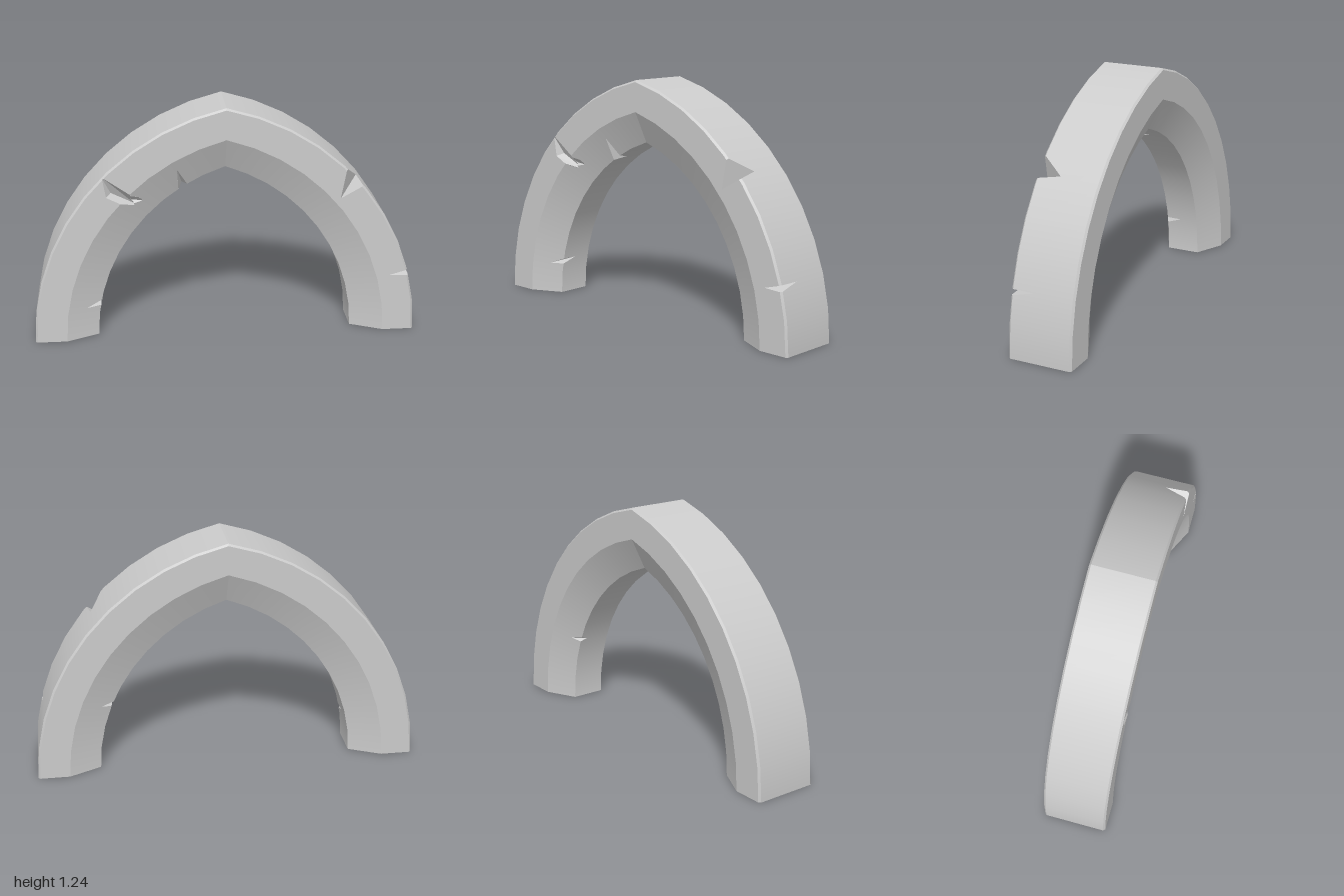
import * as THREE from 'three';
import { ConvexGeometry } from 'three/addons/geometries/ConvexGeometry.js';

const V = (x, y, z) => new THREE.Vector3(x, y, z);
const SEGMENTS = 10;

// Cross-section as [z, depth]: depth 0 is the outer curve, 1 the inner curve.
const half = [[0.16, 0], [0.17, 0.03], [0.17, 0.5], [0.09, 1]];
const section = [...half, ...half.map(([z, d]) => [-z, d]).reverse()];

// Chips knocked out of the stone, each the convex hull of a few points.
const chipPoints = [
  // large scoop on the front of the right haunch
  [[-0.63, 0.905, 0.173], [-0.61, 0.79, 0.173], [-0.455, 0.712, 0.173], [-0.48, 0.8, 0.173],
    [-0.585, 0.805, 0.135], [-0.47, 0.745, 0.125]],
  [[-0.5, 0.8, 0.173], [-0.5, 0.735, 0.173], [-0.455, 0.712, 0.173], [-0.405, 0.735, 0.173],
    [-0.39, 0.81, 0.173], [-0.48, 0.765, 0.13], [-0.43, 0.76, 0.13]],
  // wedges on the inner edge of the right side
  [[-0.25, 0.925, 0.15], [-0.25, 0.76, 0.12], [-0.16, 0.8, 0.12], [-0.215, 0.795, -0.01]],
  [[-0.737, 0.163, 0.14], [-0.63, 0.205, 0.12], [-0.63, 0.152, 0.12], [-0.635, 0.2, -0.01]],
  // wedges on the outer edge of the left side
  [[0.61, 0.92, 0.18], [0.715, 0.82, 0.18], [0.583, 0.748, 0.174], [0.695, 0.845, 0.03]],
  [[0.855, 0.313, 0.174], [0.985, 0.35, 0.18], [0.985, 0.305, 0.18], [0.97, 0.343, 0.03]],
  // small nick on the inner back edge
  [[0.65, 0.37, -0.115], [0.56, 0.4, -0.12], [0.58, 0.33, -0.12], [0.575, 0.37, -0.03]],
];

// Angle and position on the pointed-arch curve at a given depth.
function arcPoint(depth, t, z, side) {
  const foot = 1 - 0.33 * depth;
  const apex = 1.24 - 0.325 * depth;
  const radius = (foot * foot + apex * apex) / (2 * foot);
  const centre = foot - radius;
  const angle = Math.atan2(apex, -centre) * t;
  const p = V(side * (centre + radius * Math.cos(angle)), radius * Math.sin(angle), z);
  return { p, radial: V(side * Math.cos(angle), Math.sin(angle), 0) };
}

// Split a polygon of { p, n } corners by a plane into its two halves.
function split(poly, plane) {
  const below = [], above = [];
  poly.forEach((a, i) => {
    const b = poly[(i + 1) % poly.length];
    const da = plane.distanceToPoint(a.p), db = plane.distanceToPoint(b.p);
    if (da <= 0) below.push(a);
    if (da >= 0) above.push(a);
    if (da * db < 0) {
      const k = da / (da - db);
      const mid = { p: a.p.clone().lerp(b.p, k), n: a.n.clone().lerp(b.n, k).normalize() };
      below.push(mid);
      above.push(mid);
    }
  });
  return { below: below.length > 2 ? below : null, above: above.length > 2 ? above : null };
}

// Part of a polygon inside a convex solid.
function inside(poly, planes) {
  for (const plane of planes) {
    poly = split(poly, plane).below;
    if (!poly) return null;
  }
  return poly;
}

// Parts of a polygon outside a convex solid.
function outside(poly, planes) {
  if (!inside(poly, planes)) return [poly];
  const pieces = [];
  for (const plane of planes) {
    const { below, above } = split(poly, plane);
    if (above) pieces.push(above);
    if (!below) break;
    poly = below;
  }
  return pieces;
}

function toMesh(name, polys) {
  const pos = [], nor = [];
  for (const poly of polys) {
    for (let i = 1; i < poly.length - 1; i++) {
      for (const c of [poly[0], poly[i], poly[i + 1]]) {
        pos.push(...c.p.toArray());
        nor.push(...c.n.toArray());
      }
    }
  }
  const geometry = new THREE.BufferGeometry();
  geometry.setAttribute('position', new THREE.Float32BufferAttribute(pos, 3));
  geometry.setAttribute('normal', new THREE.Float32BufferAttribute(nor, 3));
  const material = new THREE.MeshStandardMaterial({ color: 0xcccccc, side: THREE.DoubleSide });
  const mesh = new THREE.Mesh(geometry, material);
  mesh.name = name;
  return mesh;
}

// Chip hulls: bounding planes plus triangles turned inward as cavity walls.
function makeChip(points) {
  const pos = new ConvexGeometry(points.map((p) => V(...p))).getAttribute('position');
  const planes = [], walls = [];
  for (let i = 0; i < pos.count; i += 3) {
    const [a, b, c] = [0, 1, 2].map((k) => V().fromBufferAttribute(pos, i + k));
    const plane = new THREE.Plane().setFromCoplanarPoints(a, b, c);
    const n = plane.normal.clone().negate();
    planes.push(plane);
    walls.push([c, b, a].map((p) => ({ p, n })));
  }
  return { planes, walls };
}

// One straight stretch of the arch: its side quads and its bounding planes.
function makeSegment(i, side) {
  const rings = [i, i + 1].map((k) => section.map(([z, d]) => arcPoint(d, k / SEGMENTS, z, side)));
  const middle = V();
  rings.flat().forEach((c) => middle.addScaledVector(c.p, 0.5 / section.length));
  const planeOf = (a, b, c) => {
    const plane = new THREE.Plane().setFromCoplanarPoints(a, b, c);
    return plane.distanceToPoint(middle) > 0 ? plane.negate() : plane;
  };
  const quads = [], planes = [];
  section.forEach(([z, d], j) => {
    const k = (j + 1) % section.length;
    const [a, b, c, e] = [rings[0][j], rings[0][k], rings[1][k], rings[1][j]];
    const plane = planeOf(a.p, b.p, c.p);
    planes.push(plane);
    // normals follow the curve, creased along the section's corners
    const dz = section[k][0] - z, dr = -0.33 * (section[k][1] - d);
    const quad = [a, b, c, e].map(({ p, radial }) => {
      const n = radial.clone().multiplyScalar(dz).add(V(0, 0, -dr)).normalize();
      return { p, n: n.dot(plane.normal) < 0 ? n.negate() : n };
    });
    const facing = V().crossVectors(b.p.clone().sub(a.p), c.p.clone().sub(a.p));
    quads.push(facing.dot(plane.normal) < 0 ? quad.reverse() : quad);
  });
  for (const ring of rings) planes.push(planeOf(ring[0].p, ring[3].p, ring[7].p));
  return { quads, planes };
}

export function createModel() {
  const chips = chipPoints.map(makeChip);
  const carve = (polys, skip) => chips.reduce(
    (list, chip) => (chip === skip ? list : list.flatMap((poly) => outside(poly, chip.planes))), polys);

  const shell = [], cavities = [];
  for (const side of [1, -1]) {
    for (let i = 0; i < SEGMENTS; i++) {
      const { quads, planes } = makeSegment(i, side);
      shell.push(...carve(quads));
      for (const chip of chips) {
        const walls = chip.walls.map((wall) => inside(wall, planes)).filter(Boolean);
        cavities.push(...carve(walls, chip));
      }
    }
  }

  const group = new THREE.Group();
  group.name = 'pointedArch';
  group.add(toMesh('archShell', shell), toMesh('chippedNotches', cavities));
  return group;
}
